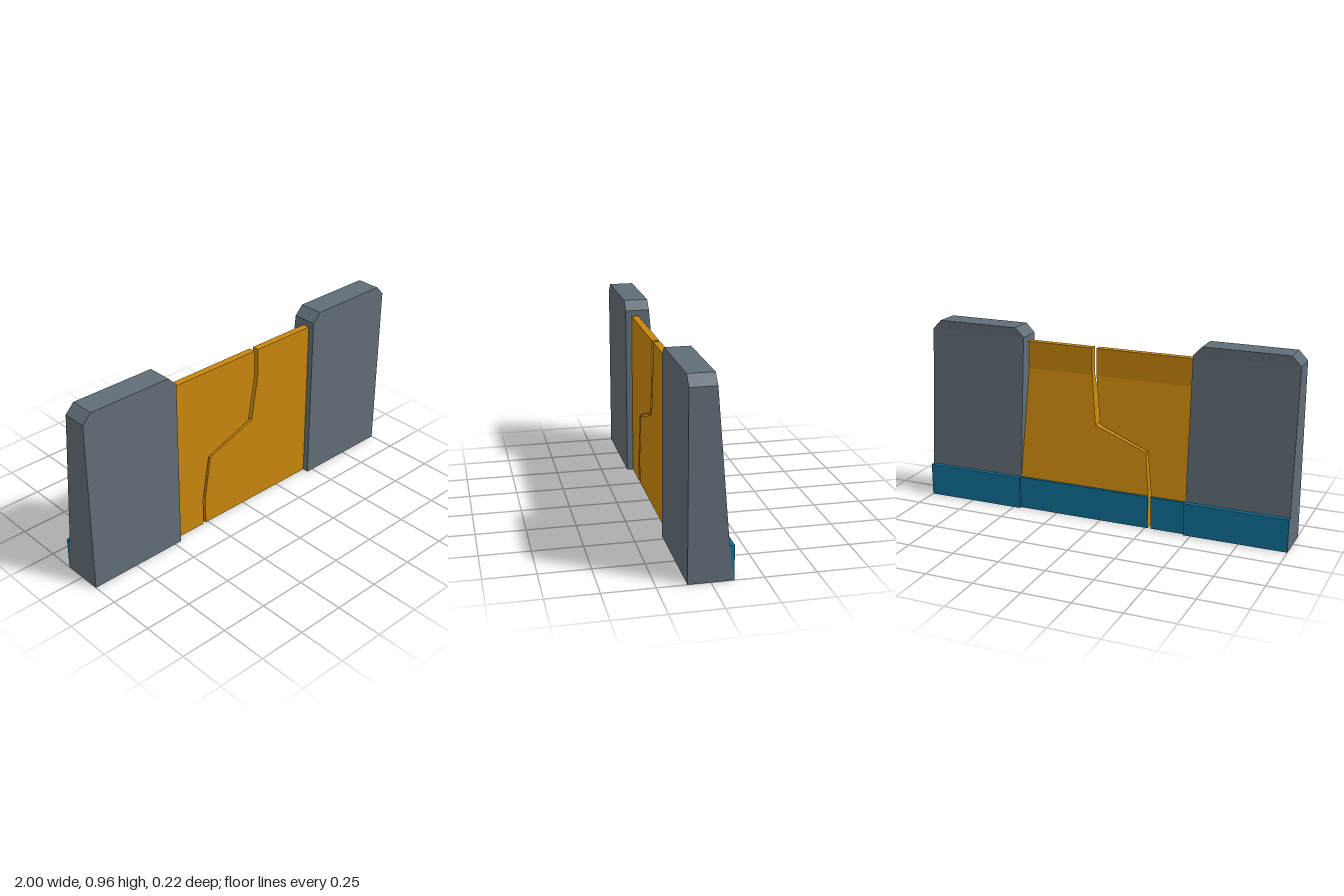
import * as THREE from 'three';

const material = (color) => new THREE.MeshStandardMaterial({ color, flatShading: true });

// Solid stacked from rectangular levels: [y, xMin, xMax, zBack, zFront]
function stack(name, mat, levels) {
  const positions = [];
  const index = [];
  for (const [y, x0, x1, back, front] of levels) {
    positions.push(x0, y, front, x1, y, front, x1, y, back, x0, y, back);
  }
  for (let i = 0; i < levels.length - 1; i++) {
    for (let j = 0; j < 4; j++) {
      const a = i * 4 + j;
      const b = i * 4 + (j + 1) % 4;
      index.push(a, b, b + 4, a, b + 4, a + 4);
    }
  }
  const t = (levels.length - 1) * 4;
  index.push(0, 2, 1, 0, 3, 2, t, t + 1, t + 2, t, t + 2, t + 3);
  const indexed = new THREE.BufferGeometry();
  indexed.setAttribute('position', new THREE.Float32BufferAttribute(positions, 3));
  indexed.setIndex(index);
  const geometry = indexed.toNonIndexed();
  geometry.computeVertexNormals();
  const mesh = new THREE.Mesh(geometry, mat);
  mesh.name = name;
  return mesh;
}

export function createModel() {
  const group = new THREE.Group();
  group.name = 'crackedWall';
  const stone = material(0x606d76);
  const plaster = material(0xc8860d);
  const trim = material(0x0e6f98);
  const inner = 0.462;
  const baseTop = 0.172;

  // Tapered end pillars with chamfered tops and a skirting wedge behind
  for (const [side, x0, x1] of [['right', -1, -inner], ['left', inner, 1]]) {
    group.add(stack(side + 'Pillar', stone, [
      [0, x0, x1, -0.108, 0.108],
      [baseTop, x0, x1, -0.084, 0.108],
      [0.917, x0, x1, -0.02, 0.108],
      [0.965, x0 + 0.046, x1 - 0.046, -0.02, 0.108],
    ]));
    group.add(stack(side + 'PillarSkirting', trim, [
      [0, x0, x1, -0.108, -0.108],
      [baseTop, x0, x1, -0.108, -0.084],
    ]));
  }

  // Rear face of the wall panel: sloped foot, long slope, upright top
  const profile = [[0, -0.095], [baseTop, -0.081], [0.74, 0.038], [0.885, 0.038]];
  const backAt = (y) => {
    const i = Math.max(1, profile.findIndex((p) => y <= p[0]));
    const [y0, z0] = profile[i - 1];
    const [y1, z1] = profile[i];
    return z0 + (z1 - z0) * (y - y0) / (y1 - y0);
  };

  // Edges of the two panel halves along the crack: [y, x]
  const halves = {
    right: [[0, -0.28], [0.155, -0.28], [baseTop, -0.277], [0.395, -0.239],
      [0.497, 0.036], [0.74, 0.076], [0.885, 0.076]],
    left: [[0, -0.264], [0.152, -0.264], [baseTop, -0.261], [0.388, -0.228],
      [0.49, 0.06], [0.74, 0.1], [0.885, 0.1]],
  };
  for (const [side, edge] of Object.entries(halves)) {
    const span = (x) => (side === 'right' ? [-inner, x] : [x, inner]);
    group.add(stack(side + 'Panel', plaster,
      edge.map(([y, x]) => [y, ...span(x), backAt(y), 0.075])));
    group.add(stack(side + 'PanelSkirting', trim,
      edge.slice(0, 3).map(([y, x]) => [y, ...span(x), -0.095, backAt(y)])));
  }
  return group;
}
